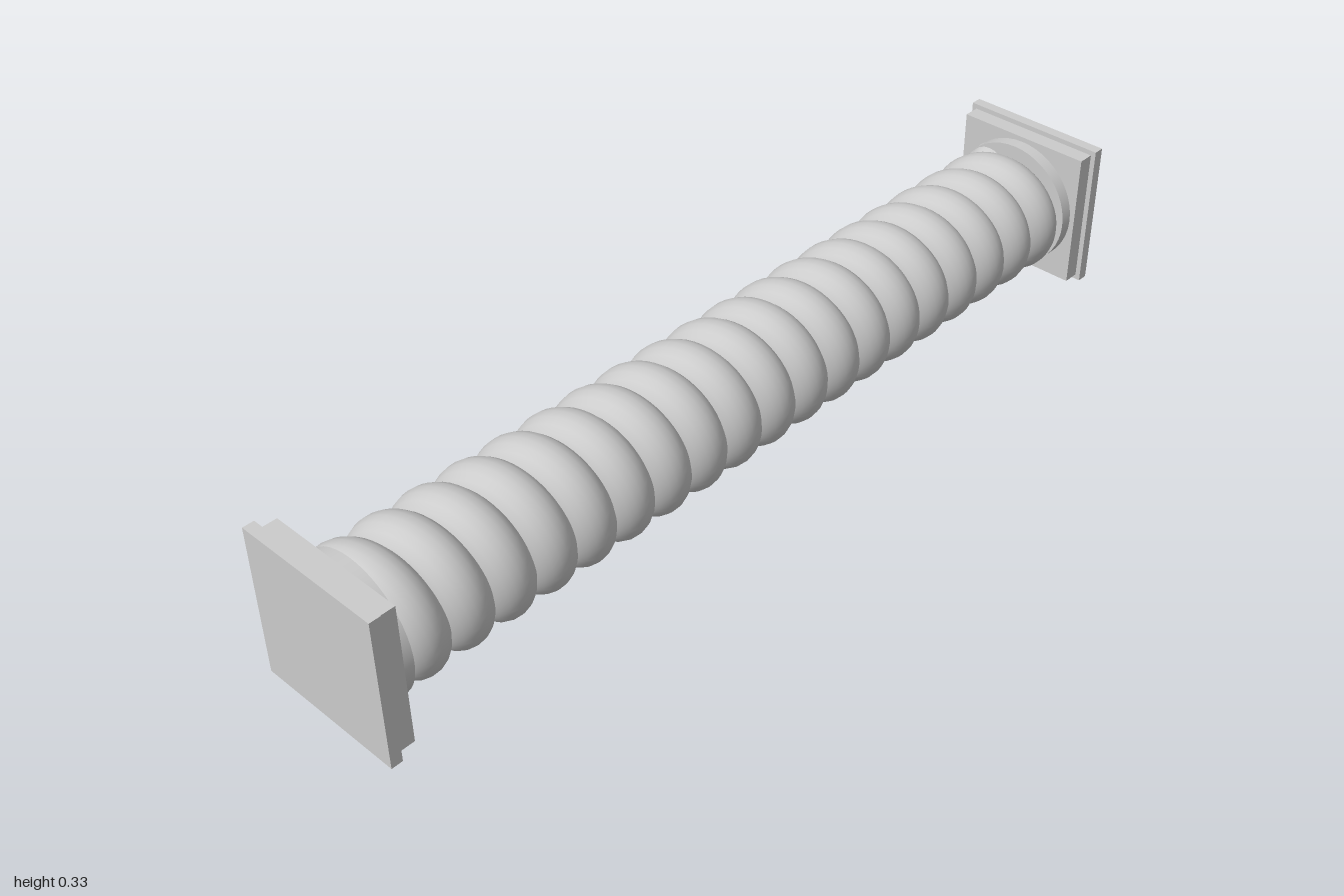
import * as THREE from 'three';

const AXIS_Y = 0.165;   // height of the column axis
const PITCH = 0.0963;   // distance between coil ridges
const TUBE = 0.054;     // radius of the coiled strand
const COIL = 0.145 - TUBE;
const END_Z = 0.93;     // where the strand's centre line stops

// Helix along z, running from the front end to the back end
class Helix extends THREE.Curve {
  getPoint(t, target = new THREE.Vector3()) {
    const z = END_Z * (1 - 2 * t);
    const a = ((0.791 - z) / PITCH) * Math.PI * 2;
    return target.set(COIL * Math.sin(a), COIL * Math.cos(a), z);
  }
}

export function createModel() {
  const group = new THREE.Group();
  const smooth = new THREE.MeshStandardMaterial({ color: 0xcccccc });

  const add = (name, geometry, x = 0, y = 0, z = 0) => {
    const mesh = new THREE.Mesh(geometry, smooth);
    mesh.name = name;
    mesh.position.set(x, AXIS_Y + y, z);
    group.add(mesh);
    return mesh;
  };

  // Twisted shaft: one strand wound tightly around a core
  const helix = new Helix();
  add('coiledShaft', new THREE.TubeGeometry(helix, 900, TUBE, 20, false));
  add('shaftCore', new THREE.CylinderGeometry(0.1, 0.1, 1.88, 32)).rotation.x = Math.PI / 2;

  // Rounded strand ends
  for (const t of [0, 1]) {
    const p = helix.getPoint(t);
    add('strandEnd', new THREE.SphereGeometry(TUBE, 20, 14), p.x, p.y, p.z);
  }

  // Matching base and capital: round collar, inner plate, outer plate
  for (const s of [1, -1]) {
    const end = s > 0 ? 'front' : 'back';
    add(end + 'Collar', new THREE.CylinderGeometry(0.143, 0.143, 0.035, 48), 0, 0, s * 0.9295)
      .rotation.x = Math.PI / 2;
    add(end + 'InnerPlate', new THREE.BoxGeometry(0.308, 0.308, 0.037), 0, 0, s * 0.9585);
    add(end + 'OuterPlate', new THREE.BoxGeometry(0.33, 0.33, 0.024), 0, 0, s * 0.988);
  }

  return group;
}
